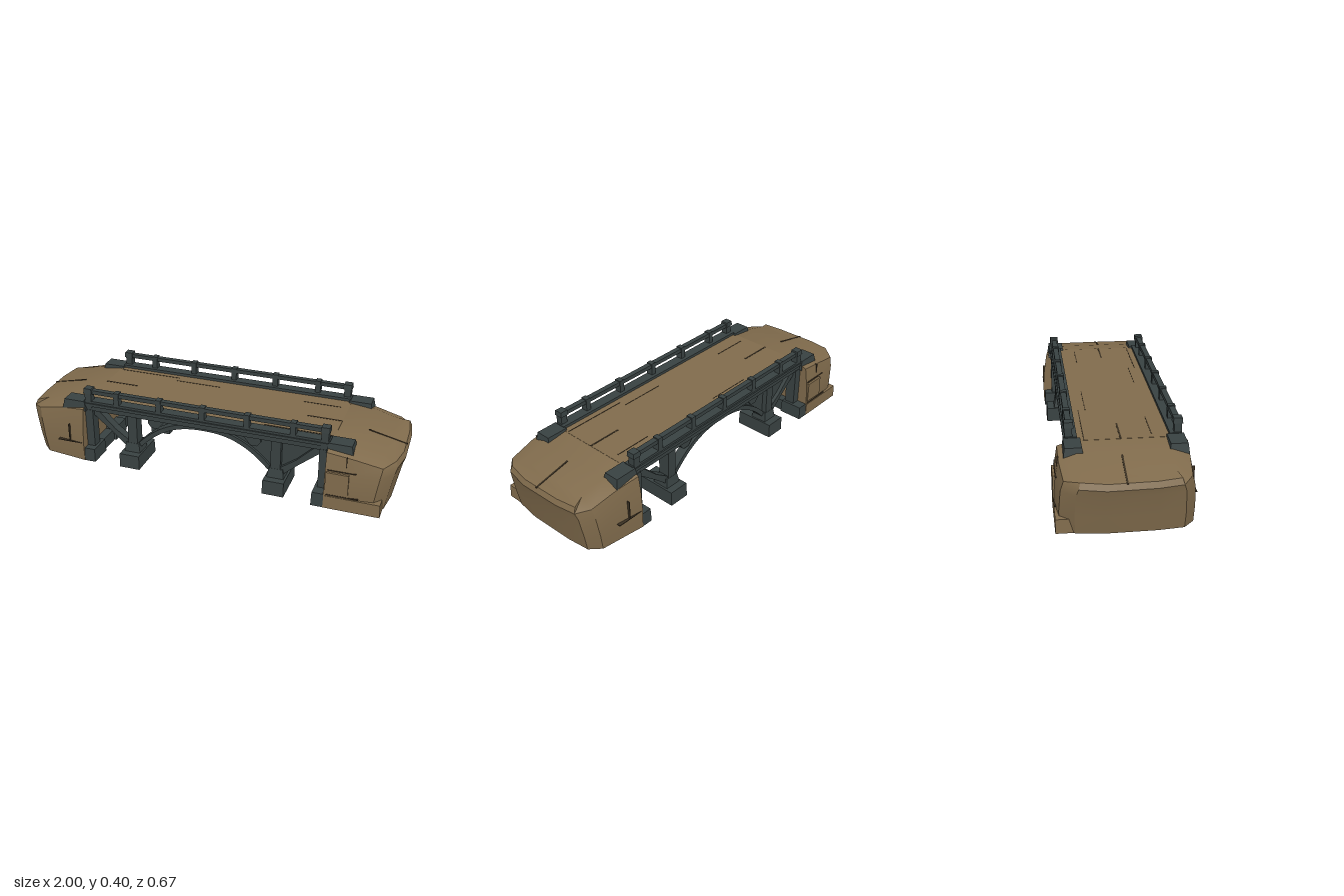
import * as THREE from 'three';
import { toCreasedNormals } from 'three/addons/utils/BufferGeometryUtils.js';

const mat = (name, color, side = THREE.FrontSide) => {
  const m = new THREE.MeshStandardMaterial({ color, side });
  m.name = name;
  return m;
};

export function createModel() {
  const sand = mat('sandstone', 0x806b4c);
  const slate = mat('dark slate', 0x384141);
  const crackMat = mat('crack', 0x3a3022);

  const mesh = (parent, name, geo, material) => {
    const m = new THREE.Mesh(geo, material);
    m.name = name;
    parent.add(m);
    return m;
  };
  // Box given by its minimum and maximum on each axis
  const box = (parent, name, material, x0, x1, y0, y1, z0, z1) => {
    const m = mesh(parent, name, new THREE.BoxGeometry(x1 - x0, y1 - y0, z1 - z0), material);
    m.position.set((x0 + x1) / 2, (y0 + y1) / 2, (z0 + z1) / 2);
    return m;
  };
  // Box whose top face is narrowed, for worn stones
  const stone = (parent, name, material, x0, x1, y0, y1, z0, z1, taper = 0.85) => {
    const m = box(parent, name, material, x0, x1, y0, y1, z0, z1);
    const p = m.geometry.attributes.position;
    for (let i = 0; i < p.count; i++) {
      if (p.getY(i) > 0) p.setXYZ(i, p.getX(i) * taper, p.getY(i), p.getZ(i) * taper);
    }
    m.geometry.computeVertexNormals();
    return m;
  };
  // Flat outline extruded between two depths
  const slab = (parent, name, points, z0, z1) => {
    const shape = new THREE.Shape(points.map(([x, y]) => new THREE.Vector2(x, y)));
    const geo = new THREE.ExtrudeGeometry(shape, { depth: z1 - z0, bevelEnabled: false });
    return mesh(parent, name, geo, slate).position.z = z0;
  };

  // Height of the road surface, falling towards the ends
  const roadY = (x) => x < 0.68 ? 0.319 : x < 0.8 ? 0.319 - (x - 0.68) * 0.15 : 0.301 - (x - 0.8) * 0.23;

  // Rock bank: rounded plan outline stacked at several heights
  function bankGeometry() {
    const plan = [[0.65, 0.33], [0.78, 0.33], [0.92, 0.315], [0.98, 0.25], [1, 0.12],
      [0.995, -0.12], [0.98, -0.24], [0.92, -0.29], [0.78, -0.305], [0.65, -0.32]];
    const n = plan.length;
    const levels = [
      { y: () => 0, sx: 0.86, sz: 0.99 },
      { y: () => 0.09, sx: 0.91, sz: 1 },
      { y: (x) => Math.min(0.2, roadY(x) - 0.06), sx: 0.97, sz: 0.975 },
      { y: (x) => roadY(x) - 0.025, sx: 1, sz: 0.93 },
      { y: (x) => roadY(x), sx: 0.965, sz: 0.68 },
    ];
    const pos = [], idx = [];
    for (const l of levels) {
      plan.forEach(([px, pz], i) => {
        const x = 0.65 + (px - 0.65) * l.sx;
        const endZ = l.sz < 0.9 && i > 2 && i < 7 ? 0.9 : l.sz;
        pos.push(x, l.y(x), pz * endZ);
      });
    }
    for (let k = 0; k < levels.length - 1; k++) {
      for (let i = 0; i < n; i++) {
        const j = (i + 1) % n, a = k * n, b = a + n;
        idx.push(a + i, a + j, b + j, a + i, b + j, b + i);
      }
    }
    const t = (levels.length - 1) * n;
    for (let i = 0; i < n / 2 - 1; i++) {
      const a = i, b = i + 1, c = n - 2 - i, d = n - 1 - i;
      idx.push(t + a, t + b, t + c, t + a, t + c, t + d, a, c, b, a, d, c);
    }
    const g = new THREE.BufferGeometry();
    g.setAttribute('position', new THREE.Float32BufferAttribute(pos, 3));
    g.setIndex(idx);
    return toCreasedNormals(g, 0.5);
  }

  // Arch curve and its ring outline
  const archY = (x) => 0.262 - 2 * Math.pow(Math.abs(x), 2.4);
  const inner = [], outer = [];
  for (let i = 0; i <= 24; i++) {
    const x = -0.345 + 0.69 * i / 24;
    const slope = -4.8 * Math.sign(x) * Math.pow(Math.abs(x), 1.4);
    const len = Math.hypot(1, slope), w = 0.024;
    inner.push([x, archY(x)]);
    outer.push([x - slope / len * w, archY(x) + w / len]);
  }

  // One end bank together with one side of the bridge
  function buildHalf(name) {
    const half = new THREE.Group();
    half.name = name;

    mesh(half, 'rockBank', bankGeometry(), sand);
    stone(half, 'bankLedge', sand, 0.65, 0.93, 0, 0.068, 0.25, 0.333, 0.98);
    stone(half, 'bankBlock', sand, 0.655, 0.77, 0.09, 0.2, 0.25, 0.335, 0.97);

    // Joints in the bank stonework
    box(half, 'joint', crackMat, 0.66, 0.82, 0.073, 0.078, 0.31, 0.332);
    box(half, 'joint', crackMat, 0.66, 0.8, 0.206, 0.21, 0.3, 0.324);
    box(half, 'joint', crackMat, 0.748, 0.752, 0.21, 0.285, 0.3, 0.316);
    box(half, 'joint', crackMat, 0.66, 0.8, 0.1, 0.104, -0.319, -0.3);
    box(half, 'joint', crackMat, 0.73, 0.734, 0.1, 0.2, -0.318, -0.29);

    // Stone sill at the foot of the bank
    for (let i = 0; i < 5; i++) {
      const z = -0.315 + i * 0.129;
      stone(half, 'sillStone', slate, 0.59 + (i % 2) * 0.012, 0.665, 0, 0.072 - (i % 2) * 0.01, z, z + 0.131, 0.94);
    }

    // Edge beam with a thin lower moulding
    box(half, 'edgeBeam', slate, -0.655, 0.655, 0.28, 0.334, 0.213, 0.268);
    box(half, 'beamMoulding', slate, -0.655, 0.655, 0.306, 0.322, 0.26, 0.275);

    // Parapet posts and rail
    for (const x of [-0.47, -0.235, 0, 0.235, 0.47]) {
      box(half, 'railPost', slate, x - 0.014, x + 0.014, 0.33, 0.4, 0.232, 0.268);
    }
    box(half, 'handRail', slate, -0.63, 0.63, 0.374, 0.395, 0.236, 0.264);
    slab(half, 'arch', [...inner, ...outer.reverse()], 0.2, 0.25);
    outer.reverse();

    for (const s of [-1, 1]) {
      const x = (a, b) => [Math.min(s * a, s * b), Math.max(s * a, s * b)];
      // Railing end post, cap and worn end stone
      box(half, 'railEndPost', slate, ...x(0.612, 0.648), 0.28, 0.38, 0.234, 0.27);
      stone(half, 'railEndCap', slate, ...x(0.607, 0.653), 0.377, 0.404, 0.228, 0.274, 0.9);
      stone(half, 'endStone', slate, ...x(0.64, 0.775), 0.278, 0.33, 0.192, 0.285);
      // Bank pillar
      box(half, 'bankPillar', slate, ...x(0.607, 0.66), 0.05, 0.285, 0.215, 0.272);
      // Pier with footing
      stone(half, 'pierFooting', slate, ...x(0.335, 0.447), 0, 0.076, 0.1, 0.313, 0.97);
      stone(half, 'pierFoot', slate, ...x(0.345, 0.435), 0.07, 0.125, 0.18, 0.272, 0.8);
      box(half, 'pierPost', slate, ...x(0.362, 0.413), 0.07, 0.285, 0.2, 0.262);
      // Outer curved brace
      slab(half, 'outerBrace', [[0.4, 0.1], [0.43, 0.1], [0.5, 0.163], [0.612, 0.255],
        [0.612, 0.283], [0.585, 0.283], [0.49, 0.19], [0.4, 0.125]].map(([a, b]) => [s * a, b]), 0.21, 0.255);
      // Small corbel where the arch meets the beam
      slab(half, 'corbel', [[0.2, 0.285], [0.3, 0.285], [0.305, 0.25], [0.285, 0.225], [0.25, 0.225]]
        .map(([a, b]) => [s * a, b]), 0.205, 0.245);
    }

    // Solid spandrel panel, seen from outside only
    const panel = new THREE.Shape([[0.1, 0.282], [0.12, 0.262], [0.2, 0.235], [0.27, 0.195], [0.345, 0.11],
      [0.43, 0.11], [0.5, 0.175], [0.612, 0.27], [0.612, 0.282]].map(([a, b]) => new THREE.Vector2(a, b)));
    mesh(half, 'spandrelPanel', new THREE.ShapeGeometry(panel), slate).position.z = 0.235;

    // Worn grooves in the road
    for (const [x0, x1, z, w] of [[0.3, 0.65, 0.18, 0.004], [0.48, 0.66, 0.01, 0.008],
      [0.05, 0.3, 0.145, 0.003], [0.42, 0.62, -0.135, 0.004]]) {
      box(half, 'roadGroove', crackMat, x0, x1, 0.316, 0.3205, z, z + w);
    }
    const groove = box(half, 'roadGroove', crackMat, -0.1, 0.1, -0.002, 0.002, -0.004, 0.004);
    groove.position.set(0.895, roadY(0.895), 0.025);
    groove.rotation.z = -Math.atan(0.23);
    return half;
  }

  const bridge = new THREE.Group();
  bridge.name = 'bridge';
  box(bridge, 'roadDeck', sand, -0.66, 0.66, 0.285, 0.319, -0.225, 0.225);
  box(bridge, 'deckUnderside', slate, -0.65, 0.65, 0.276, 0.286, -0.22, 0.22);
  const right = buildHalf('frontSideAndLeftBank');
  const left = buildHalf('backSideAndRightBank');
  left.rotation.y = Math.PI;
  bridge.add(right, left);
  return bridge;
}
